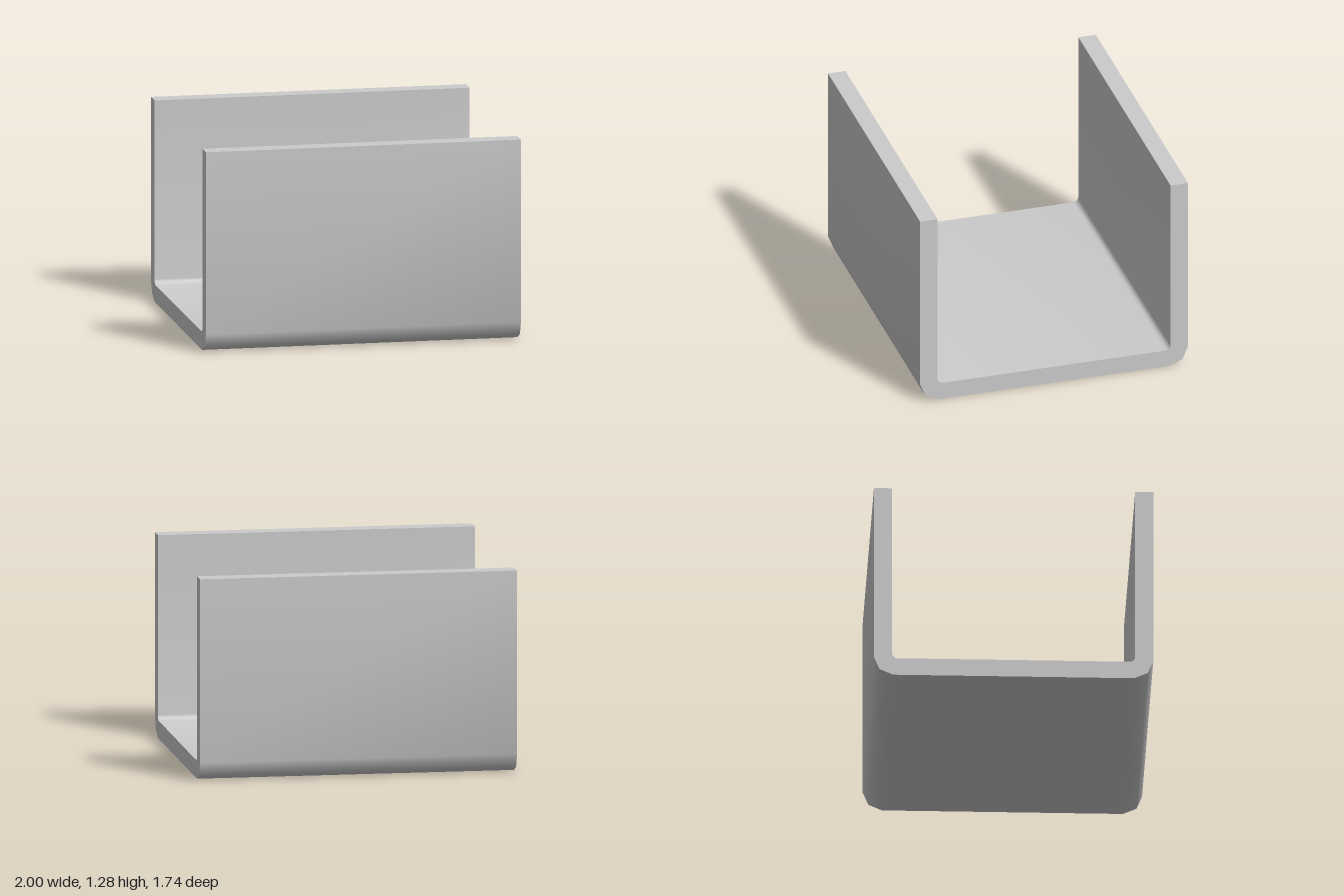
import * as THREE from 'three';
import { toCreasedNormals } from 'three/addons/utils/BufferGeometryUtils.js';

export function createModel() {
  const group = new THREE.Group();
  group.name = 'channel';

  // Half of the U section as (z, y): chamfered outer bend, wall, small inner fillet
  const half = [
    [0.75, 0], [0.835, 0.037], [0.87, 0.12], [0.87, 1.28],
    [0.757, 1.28], [0.757, 0.145], [0.753, 0.13], [0.74, 0.117], [0.722, 0.113],
  ];
  const mirrored = half.map(([z, y]) => [-z, y]).reverse();
  const section = new THREE.Shape([...half, ...mirrored].map(([z, y]) => new THREE.Vector2(z, y)));

  // Sweep the section along x
  const length = 2;
  const sweep = new THREE.ExtrudeGeometry(section, { depth: length, bevelEnabled: false });
  sweep.translate(0, 0, -length / 2);
  sweep.rotateY(-Math.PI / 2);

  // Smooth across the bends, sharp at the rims and cut ends
  const geometry = toCreasedNormals(sweep, THREE.MathUtils.degToRad(50));
  const channel = new THREE.Mesh(geometry, new THREE.MeshStandardMaterial({ color: 0xcccccc }));
  channel.name = 'uChannel';
  group.add(channel);
  return group;
}
